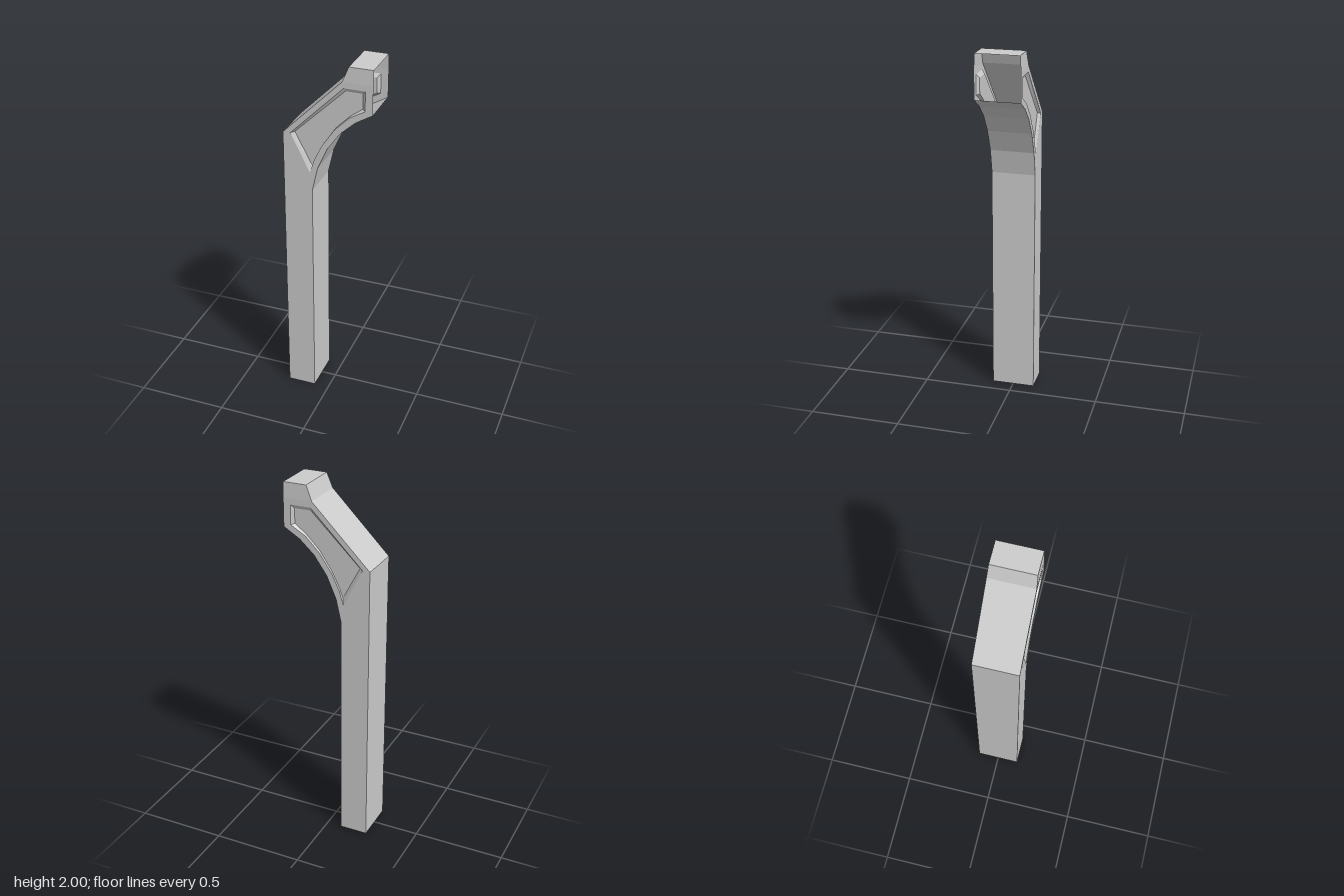
import * as THREE from 'three';

const HALF = 0.12, CROWN = 0.116, FLOOR = 0.106;
const v2 = (list) => list.map(([x, y]) => new THREE.Vector2(x, y));
const at = (pts, z) => pts.map((p) => new THREE.Vector3(p.x, p.y, z));

const material = new THREE.MeshStandardMaterial({
  color: 0xcccccc, flatShading: true, side: THREE.DoubleSide,
});

function meshFrom(name, triangles, flip = false) {
  const points = triangles.flatMap(([a, b, c]) => (flip ? [a, c, b] : [a, b, c]));
  const geometry = new THREE.BufferGeometry().setFromPoints(points);
  geometry.computeVertexNormals();
  const mesh = new THREE.Mesh(geometry, material);
  mesh.name = name;
  return mesh;
}

// Ribbon of quads between two matching rows of points
function strip(a, b, closed = false) {
  const tris = [];
  const n = closed ? a.length : a.length - 1;
  for (let i = 0; i < n; i++) {
    const j = (i + 1) % a.length;
    tris.push([a[i], a[j], b[j]], [a[i], b[j], b[i]]);
  }
  return tris;
}

// Flat polygon in the plane z, with an optional hole
function panel(outline, holes, z) {
  const faces = THREE.ShapeUtils.triangulateShape(outline, holes);
  const all = at([...outline, ...holes.flat()], z);
  return faces.map((f) => f.map((i) => all[i]));
}

export function createModel() {
  const group = new THREE.Group();
  group.name = 'bracketPost';

  // Inner edge of the post, sweeping out to the open end
  const inner = v2([[-0.083, 0], [-0.083, 1.287], [-0.053, 1.42], [0, 1.54],
    [0.071, 1.64], [0.151, 1.712], [0.24, 1.765]]);
  // Top and outer edge, back down to the foot
  const outer = v2([[0.24, 2], [0.112, 2], [0.08, 1.92], [-0.24, 1.6], [-0.24, 0]]);
  // Recess rim and its slightly smaller floor
  const rim = v2([[-0.095, 1.39], [-0.072, 1.465], [-0.03, 1.553], [0.04, 1.655],
    [0.118, 1.733], [0.2, 1.78], [0.2, 1.887], [0.088, 1.887], [-0.2, 1.6]]);
  const floor = v2([[-0.086, 1.425], [-0.066, 1.478], [-0.024, 1.562], [0.044, 1.663],
    [0.122, 1.741], [0.184, 1.786], [0.184, 1.867], [0.092, 1.867], [-0.18, 1.605]]);

  // Edge skins; the foot and the arm end stay open
  group.add(meshFrom('innerCurve', strip(at(inner, -HALF), at(inner, HALF))));
  const edge = (s) => outer.map((p) =>
    new THREE.Vector3(p.x, p.y, s * (p.y > 1.95 ? CROWN : HALF)));
  group.add(meshFrom('outerEdge', strip(edge(-1), edge(1))));

  // Front and back faces
  const face = [...inner, new THREE.Vector2(0.24, 1.92), ...outer.slice(2)];
  const crownLow = v2([[0.08, 1.92], [0.24, 1.92]]);
  const crownHigh = v2([[0.112, 2], [0.24, 2]]);
  for (const s of [1, -1]) {
    const side = new THREE.Group();
    side.name = s > 0 ? 'frontSide' : 'backSide';
    const flip = s < 0;
    side.add(
      meshFrom('sideFace', panel(face, [[...rim].reverse()], s * HALF), flip),
      meshFrom('crownFace', strip(at(crownLow, s * HALF), at(crownHigh, s * CROWN)), flip),
      meshFrom('recessWall', strip(at(rim, s * HALF), at(floor, s * FLOOR), true), flip),
      meshFrom('recessFloor', panel(floor, [], s * FLOOR), flip),
    );
    group.add(side);
  }
  return group;
}
